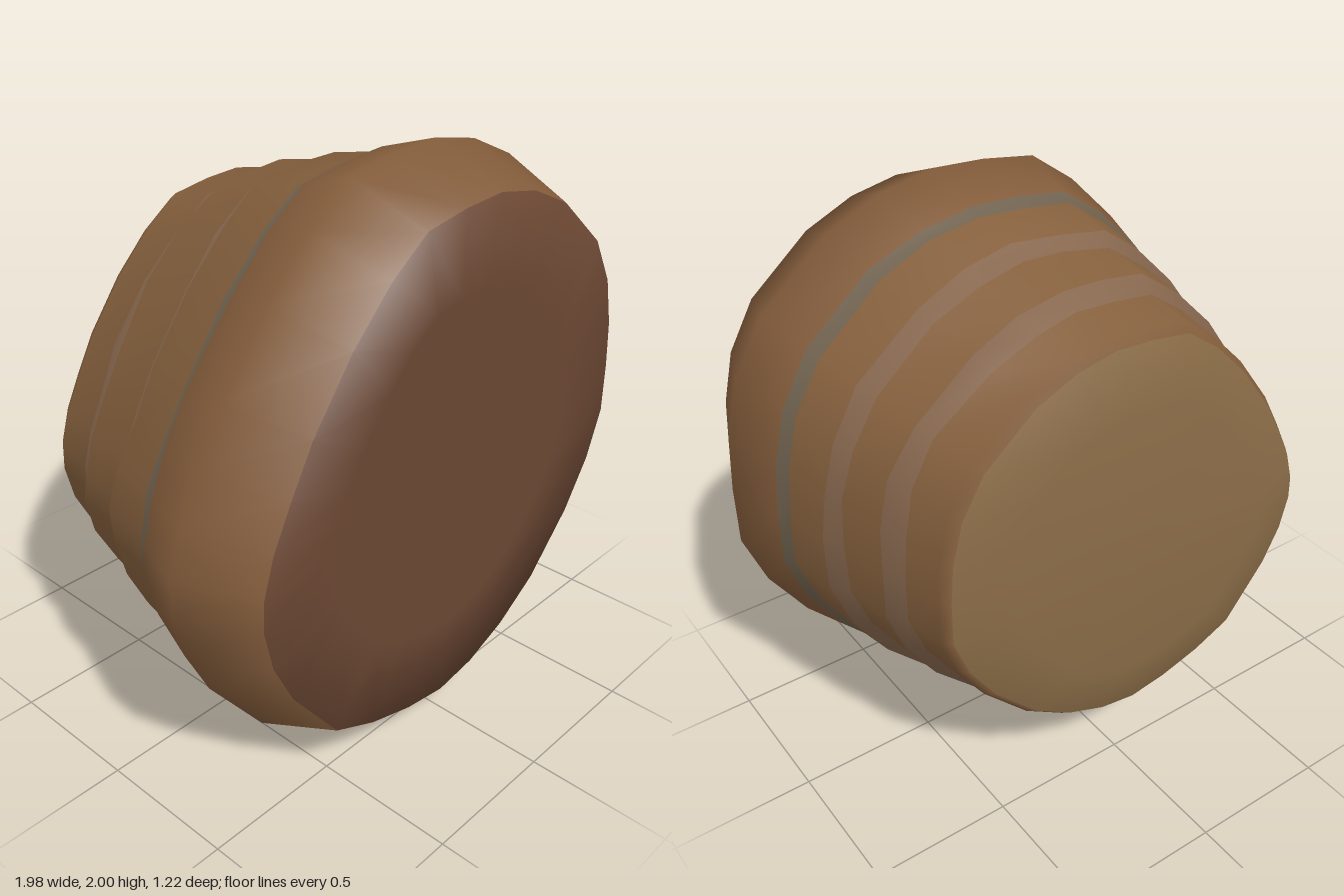
import * as THREE from 'three';

// Rounded, slightly lopsided cross-section (x, y), clockwise from the top
const OUTLINE = [
  [-0.03, 1.99], [0.16, 2.0], [0.36, 1.96], [0.56, 1.87], [0.81, 1.66], [0.92, 1.47], [0.97, 1.27],
  [0.985, 1.08], [0.985, 0.87], [0.91, 0.67], [0.78, 0.47], [0.56, 0.24], [0.36, 0.11], [0.16, 0.03],
  [-0.03, 0], [-0.23, 0.03], [-0.44, 0.09], [-0.64, 0.18], [-0.86, 0.46], [-0.95, 0.64], [-0.99, 0.81],
  [-0.985, 0.93], [-0.94, 1.08], [-0.86, 1.24], [-0.76, 1.42], [-0.58, 1.66], [-0.40, 1.84], [-0.23, 1.96],
];

// Rings from front to back: z, scale of the outline, waviness in z
const RINGS = [
  [0.61, 0, 0], [0.61, 0.6, 0], [0.61, 0.89, 0], [0.335, 1, 0],
  [0.135, 0.935, 0.01], [0.095, 0.91, 0.01],
  [-0.085, 0.88, 0.016], [-0.13, 0.835, 0.016],
  [-0.315, 0.81, 0.016], [-0.375, 0.765, 0.016],
  [-0.525, 0.742, 0], [-0.56, 0.715, 0], [-0.61, 0.51, 0], [-0.61, 0, 0],
];

// Part name, first ring, last ring, color
const PARTS = [
  ['frontFace', 0, 2, 0x6b4733],
  ['frontBody', 2, 4, 0x835c3b],
  ['frontStripe', 4, 5, 0x716350],
  ['frontStep', 5, 6, 0x85603d],
  ['middleStripe', 6, 7, 0x88684f],
  ['middleStep', 7, 8, 0x85603d],
  ['backStripe', 8, 9, 0x88684f],
  ['backStep', 9, 11, 0x85603d],
  ['backFace', 11, 13, 0x8a6c47],
];

const N = OUTLINE.length;

// Triangles joining the rings from first to last
function bandIndex(first, last) {
  const index = [];
  for (let r = first; r < last; r++) {
    for (let j = 0; j < N; j++) {
      const k = (j + 1) % N;
      const a = r * N + j, b = r * N + k, c = a + N, d = b + N;
      if (RINGS[r][1] > 0) index.push(a, b, c);
      if (RINGS[r + 1][1] > 0) index.push(b, d, c);
    }
  }
  return index;
}

export function createModel() {
  const group = new THREE.Group();
  group.name = 'steppedStump';

  // Whole skin, so the parts share smooth normals across their seams
  const positions = [];
  RINGS.forEach(([z, s, wave], r) => {
    OUTLINE.forEach(([x, y], j) => {
      const t = (j / N) * Math.PI * 2;
      const dz = wave * (0.6 * Math.sin(5 * t + r) + 0.4 * Math.sin(9 * t + 2 * r));
      positions.push(x * s, 1 + (y - 1) * s, z + dz);
    });
  });
  const skin = new THREE.BufferGeometry();
  skin.setAttribute('position', new THREE.Float32BufferAttribute(positions, 3));
  skin.setIndex(bandIndex(0, RINGS.length - 1));
  skin.computeVertexNormals();
  // Flat normals at the centres of both end faces
  for (let j = 0; j < N; j++) {
    skin.attributes.normal.setXYZ(j, 0, 0, 1);
    skin.attributes.normal.setXYZ((RINGS.length - 1) * N + j, 0, 0, -1);
  }

  // Each part takes its own rings of the skin
  for (const [name, first, last, color] of PARTS) {
    const geometry = new THREE.BufferGeometry();
    geometry.setAttribute('position', skin.attributes.position);
    geometry.setAttribute('normal', skin.attributes.normal);
    geometry.setIndex(bandIndex(first, last));
    const mesh = new THREE.Mesh(geometry, new THREE.MeshStandardMaterial({ color }));
    mesh.name = name;
    group.add(mesh);
  }
  return group;
}
